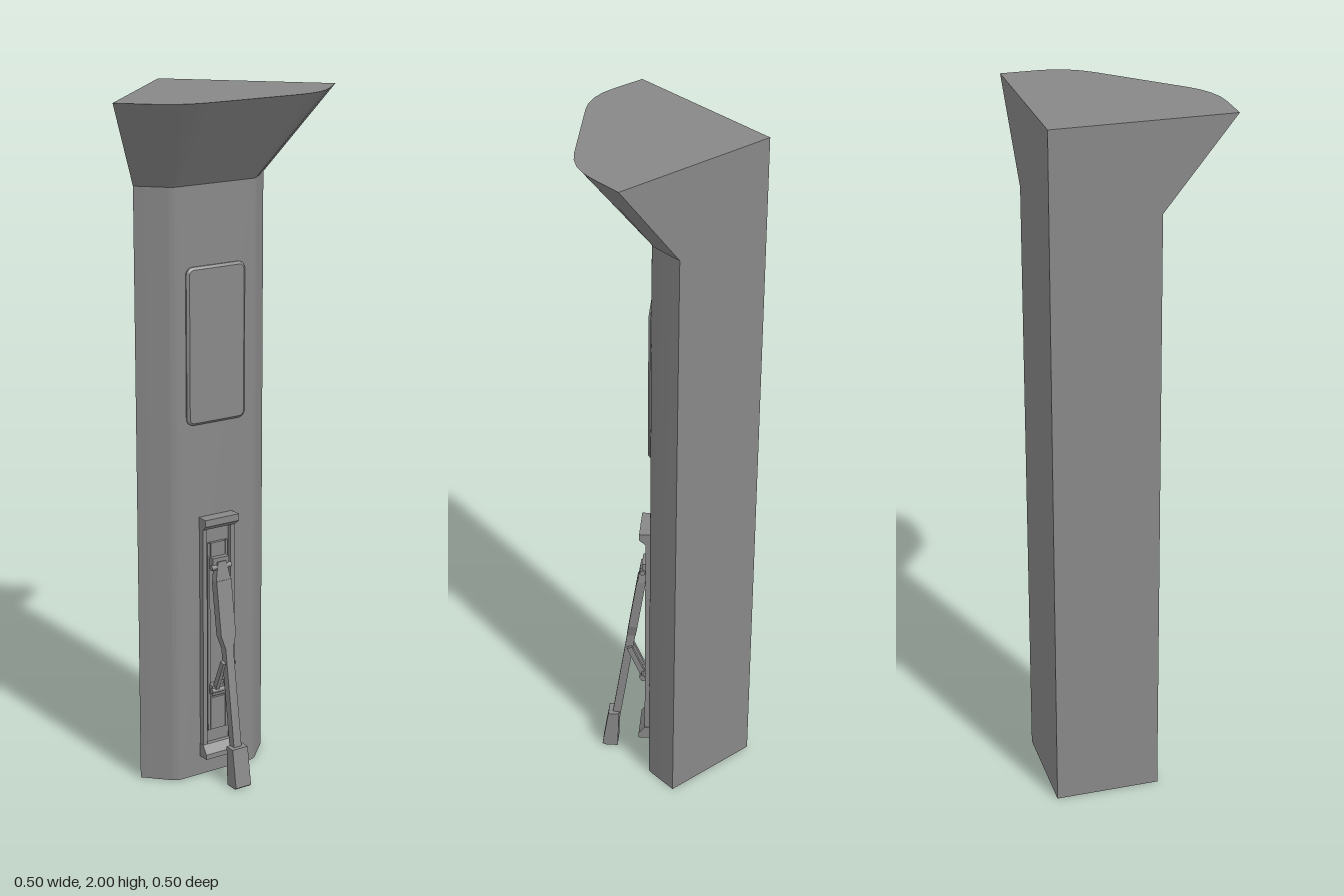
import * as THREE from 'three';
import { toCreasedNormals } from 'three/addons/utils/BufferGeometryUtils.js';

const darkGrey = new THREE.MeshStandardMaterial({ color: 0x888888 });

function add(parent, name, geometry, x = 0, y = 0, z = 0) {
  const mesh = new THREE.Mesh(geometry, darkGrey);
  mesh.name = name;
  mesh.position.set(x, y, z);
  parent.add(mesh);
  return mesh;
}

// Square with one corner cut at 45 degrees; e = far edge, d = x + z on the cut, r = rounding
function section(e, d, r) {
  const k = r * Math.SQRT1_2;
  const corner = new THREE.QuadraticBezierCurve(
    new THREE.Vector2(e, d - e - r),
    new THREE.Vector2(e, d - e),
    new THREE.Vector2(e - k, d - e + k)
  ).getPoints(4);
  const mirrored = corner.map((p) => new THREE.Vector2(p.y, p.x)).reverse();
  return [new THREE.Vector2(-0.25, -0.25), new THREE.Vector2(e, -0.25),
    ...corner, ...mirrored, new THREE.Vector2(-0.25, e)];
}

// Skin through sections at given heights, closed at both ends
function loft(levels) {
  const pos = [];
  const n = levels[0].ring.length;
  const put = (level, i) => {
    const p = level.ring[i % n];
    pos.push(p.x, level.y, p.y);
  };
  for (let l = 0; l < levels.length - 1; l++) {
    const a = levels[l], b = levels[l + 1];
    for (let i = 0; i < n; i++) {
      put(a, i + 1); put(a, i); put(b, i);
      put(a, i + 1); put(b, i); put(b, i + 1);
    }
  }
  const bottom = levels[0], top = levels[levels.length - 1];
  for (let i = 1; i < n - 1; i++) {
    put(bottom, 0); put(bottom, i); put(bottom, i + 1);
    put(top, 0); put(top, i + 1); put(top, i);
  }
  const g = new THREE.BufferGeometry();
  g.setAttribute('position', new THREE.Float32BufferAttribute(pos, 3));
  return toCreasedNormals(g, Math.PI / 7);
}

function roundedRect(w, h, r) {
  const s = new THREE.Shape();
  s.absarc(w / 2 - r, h / 2 - r, r, 0, Math.PI / 2);
  s.absarc(-w / 2 + r, h / 2 - r, r, Math.PI / 2, Math.PI);
  s.absarc(-w / 2 + r, -h / 2 + r, r, Math.PI, Math.PI * 1.5);
  s.absarc(w / 2 - r, -h / 2 + r, r, Math.PI * 1.5, Math.PI * 2);
  return s;
}

// Side profile given as [z, y] pairs, extruded across the local x axis
function profile(points, width) {
  const shape = new THREE.Shape(points.map(([z, y]) => new THREE.Vector2(-z, y)));
  const g = new THREE.ExtrudeGeometry(shape, { depth: width, bevelEnabled: false });
  g.translate(0, 0, -width / 2);
  return g.rotateY(Math.PI / 2);
}

// Bar between two [y, z] points, with its own width at each end
function bar(parent, name, from, to, wFrom, wTo, thick, x = 0) {
  const a = new THREE.Vector3(x, ...from), b = new THREE.Vector3(x, ...to);
  const g = new THREE.CylinderGeometry(Math.SQRT1_2, Math.SQRT1_2, a.distanceTo(b), 4, 1);
  g.rotateY(Math.PI / 4);
  const p = g.attributes.position;
  for (let i = 0; i < p.count; i++) {
    p.setX(i, p.getX(i) * (p.getY(i) > 0 ? wFrom : wTo));
    p.setZ(i, p.getZ(i) * thick);
  }
  const flat = g.toNonIndexed();
  flat.computeVertexNormals();
  const mesh = add(parent, name, flat);
  mesh.position.copy(a).add(b).multiplyScalar(0.5);
  mesh.quaternion.setFromUnitVectors(new THREE.Vector3(0, 1, 0), a.sub(b).normalize());
}

export function createModel() {
  const model = new THREE.Group();
  model.name = 'cornerColumn';

  // Shaft and flared head in one skin
  const shaft = section(0.05, -0.09, 0.015);
  add(model, 'column', loft([
    { y: 0, ring: shaft },
    { y: 1.75, ring: shaft },
    { y: 2, ring: section(0.25, 0.185, 0.085) },
  ]));

  // Everything else sits on the diagonal face: local z points outward
  const face = new THREE.Group();
  face.name = 'diagonalFace';
  face.position.set(-0.045, 0, -0.045);
  face.rotation.y = Math.PI / 4;
  model.add(face);

  // Raised panel with a chamfered rim
  const panel = new THREE.ExtrudeGeometry(roundedRect(0.178, 0.436, 0.015), {
    depth: 0.004, bevelThickness: 0.006, bevelSize: 0.007, bevelSegments: 1, curveSegments: 5,
  });
  add(face, 'panel', toCreasedNormals(panel, Math.PI / 6), 0, 1.3, 0);

  // Rail frame
  const frame = new THREE.Group();
  frame.name = 'railFrame';
  face.add(frame);
  add(frame, 'backPlate', new THREE.BoxGeometry(0.1, 0.7, 0.006), 0, 0.43, 0.001);
  for (const s of [-1, 1]) {
    add(frame, 'sideRail', new THREE.BoxGeometry(0.014, 0.68, 0.02), s * 0.047, 0.43, 0.008);
    add(frame, 'innerRail', new THREE.BoxGeometry(0.008, 0.58, 0.012), s * 0.03, 0.43, 0.006);
  }
  add(frame, 'topCap', profile([[-0.005, 0.765], [0.018, 0.765], [0.036, 0.78], [0.036, 0.8], [-0.005, 0.8]], 0.112));
  add(frame, 'bottomCap', profile([[-0.005, 0.06], [0.036, 0.06], [0.036, 0.075], [0.018, 0.1], [-0.005, 0.1]], 0.112));

  // Sliders and stops between the rails
  add(frame, 'upperStop', new THREE.BoxGeometry(0.048, 0.05, 0.014), 0, 0.695, 0.007);
  add(frame, 'upperSlider', new THREE.BoxGeometry(0.055, 0.035, 0.03), 0, 0.66, 0.015);
  add(frame, 'lowerSlider', new THREE.BoxGeometry(0.06, 0.03, 0.03), 0, 0.27, 0.015);
  add(frame, 'lowerStop', new THREE.BoxGeometry(0.048, 0.1, 0.012), 0, 0.19, 0.006);
  const pin = new THREE.CylinderGeometry(0.008, 0.008, 0.066, 10);
  pin.rotateZ(Math.PI / 2);
  add(frame, 'upperPin', pin, 0, 0.65, 0.028);
  add(frame, 'lowerPin', pin, 0, 0.27, 0.028);

  // Leaning lever with foot and struts
  const lever = new THREE.Group();
  lever.name = 'lever';
  face.add(lever);
  bar(lever, 'leverTop', [0.665, 0.024], [0.61, 0.032], 0.028, 0.05, 0.022);
  bar(lever, 'leverGrip', [0.61, 0.032], [0.45, 0.056], 0.05, 0.05, 0.026);
  bar(lever, 'leverTaper', [0.45, 0.056], [0.41, 0.062], 0.05, 0.026, 0.026);
  bar(lever, 'leverRod', [0.41, 0.062], [0.1, 0.108], 0.026, 0.026, 0.024);
  add(lever, 'foot', profile([[0.098, 0.12], [0.13, 0.12], [0.148, 0.005], [0.142, 0], [0.102, 0]], 0.052));
  for (const s of [-1, 1]) {
    bar(lever, 'strut', [0.37, 0.067], [0.27, 0.024], 0.012, 0.012, 0.016, s * 0.016);
  }
  return model;
}
